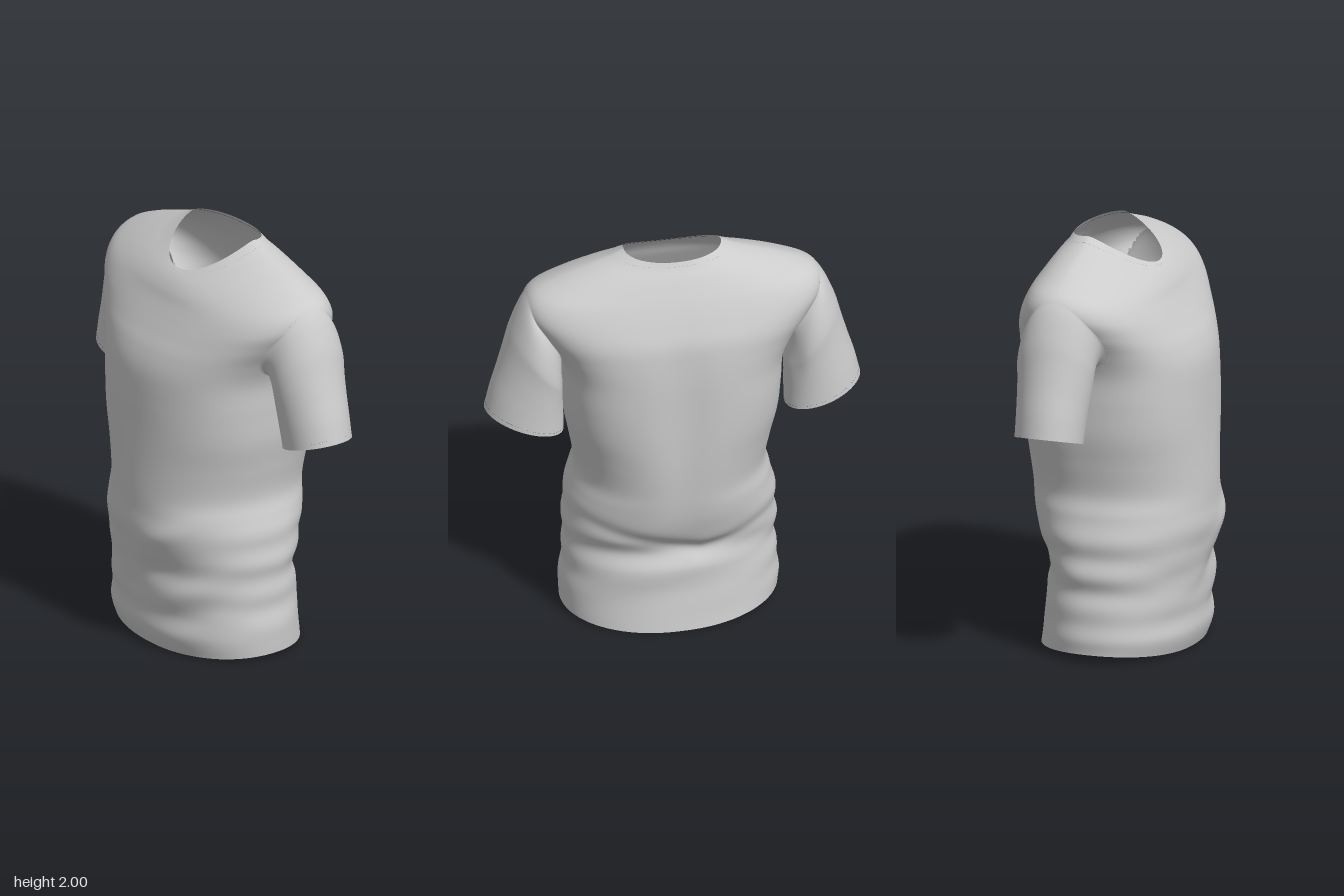
import * as THREE from 'three';

const cloth = new THREE.MeshStandardMaterial({ color: 0xcccccc, side: THREE.DoubleSide });
const { smoothstep, lerp } = THREE.MathUtils;

// Smooth (Catmull-Rom) lookup of a row of section values at t = 0..1
function sample(rows, t) {
  const f = Math.min(Math.max(t, 0), 1) * (rows.length - 1);
  const i = Math.min(Math.floor(f), rows.length - 2), k = f - i;
  const at = (n) => rows[Math.min(Math.max(n, 0), rows.length - 1)];
  const [a, b, c, d] = [at(i - 1), at(i), at(i + 1), at(i + 2)];
  return b.map((p, j) => {
    const m0 = (c[j] - a[j]) / 2, m1 = (d[j] - p) / 2, q = c[j] - p;
    return p + m0 * k + (3 * q - 2 * m0 - m1) * k * k + (m0 + m1 - 2 * q) * k * k * k;
  });
}

// Open tube from point(angle, t); quads where keep(angle, t) fails are left out
function loft(name, point, nu, nv, t0 = 0, t1 = 1, keep = () => true) {
  const pos = [], all = [], kept = [];
  const angle = (i) => (i / nu) * Math.PI * 2, along = (j) => t0 + ((t1 - t0) * j) / nv;
  for (let j = 0; j <= nv; j++)
    for (let i = 0; i < nu; i++) pos.push(...point(angle(i), along(j)));
  for (let j = 0; j < nv; j++)
    for (let i = 0; i < nu; i++) {
      const a = j * nu + i, b = j * nu + ((i + 1) % nu);
      const quad = [a, a + nu, b, b, a + nu, b + nu];
      all.push(...quad);
      if (keep(angle(i + 0.5), along(j + 0.5))) kept.push(...quad);
    }
  const g = new THREE.BufferGeometry();
  g.setAttribute('position', new THREE.Float32BufferAttribute(pos, 3));
  g.setIndex(all);
  g.computeVertexNormals(); // before cutting, so shading runs on across the cut
  g.setIndex(kept);
  const mesh = new THREE.Mesh(g, cloth);
  mesh.name = name;
  return mesh;
}

// Torso below the arms: y, half width, front z, back z (boxier towards the chest)
const lower = [
  [0.012, 0.515, 0.35, -0.37], [0.1, 0.52, 0.38, -0.355], [0.2, 0.512, 0.372, -0.345],
  [0.32, 0.5, 0.395, -0.34], [0.41, 0.505, 0.39, -0.315], [0.5, 0.5, 0.415, -0.36],
  [0.6, 0.497, 0.43, -0.39], [0.7, 0.475, 0.43, -0.412], [0.8, 0.452, 0.428, -0.425],
  [0.95, 0.475, 0.422, -0.437], [1.1, 0.503, 0.415, -0.442], [1.25, 0.513, 0.408, -0.443],
  [1.4, 0.524, 0.398, -0.442],
].map(([y, w, f, b]) => {
  const box = smoothstep(y, 0.8, 1.35);
  return [y, y, y, w, -0.03 * y, f, b, 2.15 + 0.4 * box, 2.15 + 0.7 * box];
});

// Shoulders to neckline: side y, front y, back y, half width, side z, front z, back z,
// front and back roundness
const upper = [
  [1.52, 1.5, 1.52, 0.575, -0.06, 0.37, -0.435, 2.5, 2.8],
  [1.63, 1.58, 1.62, 0.65, -0.08, 0.33, -0.42, 2.4, 2.7],
  [1.735, 1.65, 1.71, 0.705, -0.095, 0.293, -0.385, 2.3, 2.6],
  [1.82, 1.71, 1.79, 0.675, -0.1, 0.262, -0.348, 2.25, 2.5],
  [1.885, 1.76, 1.85, 0.545, -0.1, 0.24, -0.316, 2.2, 2.4],
  [1.935, 1.8, 1.91, 0.405, -0.1, 0.215, -0.28, 2.15, 2.3],
  [1.97, 1.83, 1.95, 0.3, -0.1, 0.188, -0.25, 2.05, 2.2],
  [2.0, 1.85, 1.98, 0.23, -0.1, 0.163, -0.232, 2, 2.15],
];
const sections = [...lower, ...upper];

const bump = (v, c, r) => Math.exp(-(((v - c) / r) ** 2));

// Soft folds: diagonal drapes around the waist, a hollow down the spine, a band above the hem
function fold(x, y, s) {
  const waist = bump(y, 0.36, 0.24);
  if (s > 0) return s * (0.007 * waist * Math.sin(30 * y - 8 * x + 2 * Math.sin(6 * x + 1))
    + 0.022 * bump(y, 0.6 + 0.45 * (x - 0.2), 0.07) * bump(x, 0.22, 0.2)
    - 0.016 * bump(y, 0.45 + 0.5 * (x - 0.2), 0.06) * bump(x, 0.2, 0.2)
    + 0.006 * bump(y, 1.35, 0.2) * Math.cos(9 * x));
  return -s * (0.005 * waist * Math.sin(22 * y + 6 * x)
    - 0.022 * bump(x, 0, 0.12) * bump(y, 1.15, 0.65)
    - 0.018 * bump(y, 0.42 + 0.3 * Math.abs(x + 0.1), 0.045));
}

function torsoPoint(a, t, lift = 0) {
  const [yS, yF, yB, w, zc, zf, zb, nF, nB] = sample(sections, t);
  const c = Math.cos(a), s = Math.sin(a), m = Math.abs(s);
  const e = 2 / (s > 0 ? nF : nB);
  const y = yS + ((s > 0 ? yF : yB) - yS) * m ** 1.25;
  const fade = 1 - smoothstep(y, 1.45, 1.85);
  const x = Math.sign(c) * w * Math.abs(c) ** e;
  const crease = 0.007 * bump(y, 0.4, 0.25) * Math.sin(38 * y + 2 * c) * Math.abs(c) ** 3;
  const z = zc + (s > 0 ? zf - zc : zb - zc) * m ** e + Math.sign(s) * fold(x, y, s) * fade;
  const hem = bump(y, 0, 0.1) * (0.03 * c * c - 0.012 * c - 0.006);
  return [x + Math.sign(c) * crease + lift * c, y + hem + lift, z + lift * s];
}

// Armhole: an ellipse in the torso's own angle and height parameters
const hole = { t: 0.7, height: 0.09, angle: 0.4 };
const outsideArmhole = (a, t) =>
  Math.hypot(Math.asin(Math.sin(a)) / hole.angle, (t - hole.t) / hole.height) > 0.97;

// Sleeve sections: top x, top y, underarm x, underarm y, centre z, half depth
const sleeveSections = [
  [0.69, 1.81, 0.52, 1.42, -0.11, 0.21],
  [0.735, 1.745, 0.522, 1.385, -0.11, 0.203],
  [0.772, 1.64, 0.525, 1.32, -0.108, 0.19],
  [0.804, 1.52, 0.526, 1.255, -0.108, 0.18],
  [0.835, 1.41, 0.527, 1.19, -0.111, 0.173],
  [0.868, 1.3, 0.527, 1.13, -0.114, 0.168],
  [0.893, 1.19, 0.528, 1.08, -0.117, 0.165],
];

// The sleeve leaves the armhole along the torso surface and eases into its own tube
function sleevePoint(side, a, t, lift = 0) {
  const [tx, ty, bx, by, zc, hz] = sample(sleeveSections, t);
  const c = Math.cos(a) * (1 + lift), s = Math.sin(a) * (1 + lift);
  const pinch = 0.008 * bump(t, 0.4, 0.2) * Math.sin(5 * a) * Math.max(0, -c);
  const tube = [
    side * ((tx + bx) / 2 + ((tx - bx) / 2) * c + pinch),
    (ty + by) / 2 + ((ty - by) / 2) * c,
    zc - side * hz * s + 0.02 * t * c,
  ];
  const r = 1 - 0.8 * Math.min(t, 0.5);
  const shoulder = torsoPoint(
    (side > 0 ? 0 : Math.PI) - hole.angle * r * Math.sin(a),
    hole.t + hole.height * r * Math.cos(a));
  const ease = smoothstep(t, 0, 0.4);
  return tube.map((v, i) => lerp(shoulder[i], v, ease));
}

export function createModel() {
  const shirt = new THREE.Group();
  shirt.name = 'shirt';

  // Torso with open armholes, and a neckband continuing its surface
  const bandStart = 0.965;
  shirt.add(loft('torso', torsoPoint, 180, 180, 0, bandStart, outsideArmhole));
  shirt.add(loft('neckband', (a, t) => torsoPoint(a, t, 0.001), 180, 8, bandStart, 1));

  // Sleeves, each with a narrow cuff hem
  for (const side of [1, -1]) {
    const sleeve = new THREE.Group();
    sleeve.name = side > 0 ? 'leftSleeve' : 'rightSleeve';
    sleeve.add(loft('sleeveCloth', (a, t) => sleevePoint(side, a, t), 96, 60, 0, 0.95));
    sleeve.add(loft('cuffHem', (a, t) => sleevePoint(side, a, t, 0.004), 96, 4, 0.95, 1));
    shirt.add(sleeve);
  }
  return shirt;
}
